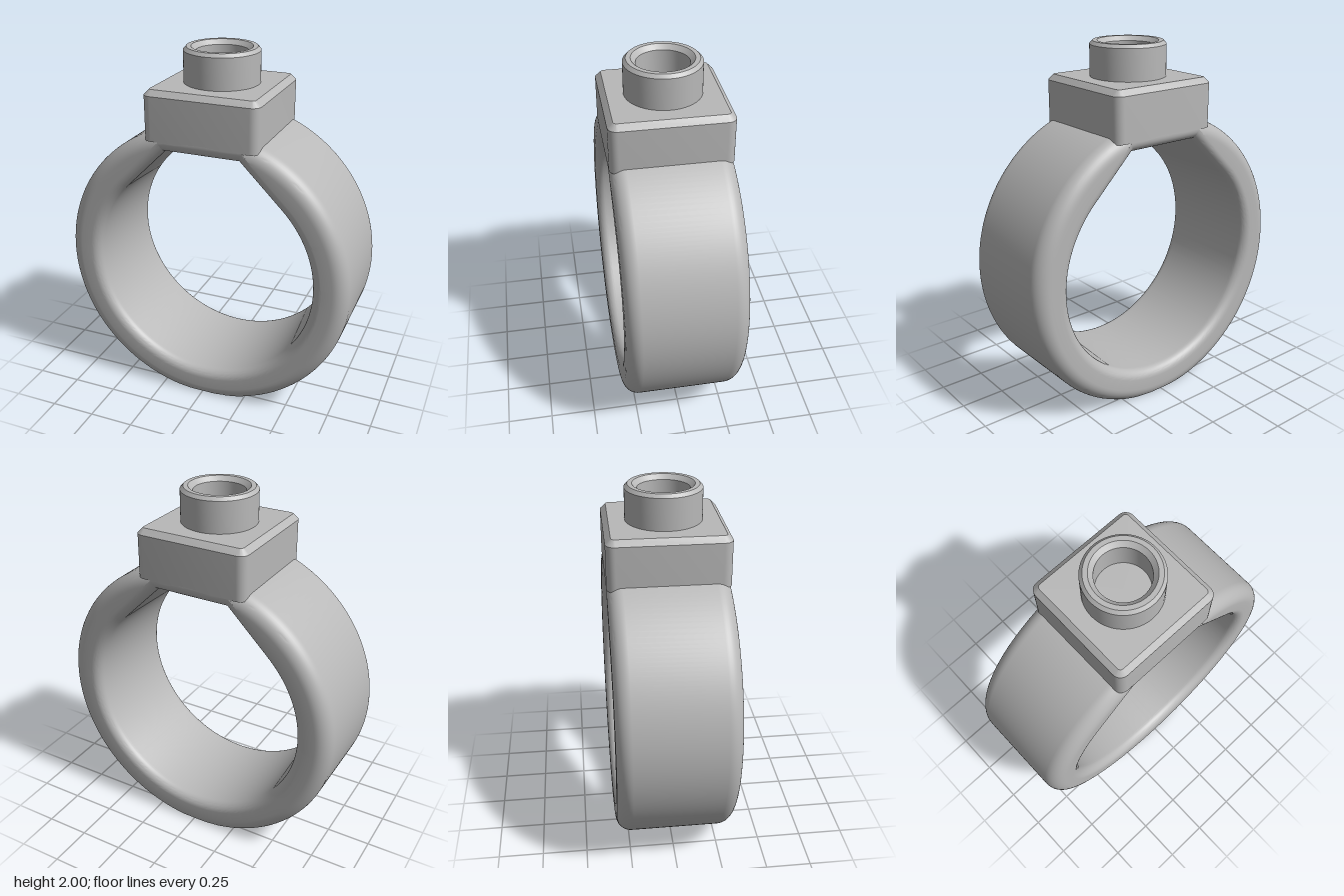
import * as THREE from 'three';
import { toCreasedNormals } from 'three/addons/utils/BufferGeometryUtils.js';

const CY = 0.795, R = 0.832, BORE = 0.635, FLAT = 0.685; // ring centre, radii, height of bore roof above centre
const W = 0.325, RI = 0.055, RF = 0.082;                 // half width, inner and outer edge rounding
const CREASE = 0.22;

// Skin a grid of cross-section loops
function loft(rings, closed) {
  const n = rings[0].length, m = rings.length, index = [];
  for (let i = 0; i < (closed ? m : m - 1); i++) {
    for (let j = 0; j < n; j++) {
      const k = (i + 1) % m, l = (j + 1) % n;
      const a = i * n + j, b = k * n + j, c = k * n + l, d = i * n + l;
      index.push(a, b, c, a, c, d);
    }
  }
  const g = new THREE.BufferGeometry();
  g.setAttribute('position', new THREE.Float32BufferAttribute(rings.flat(2), 3));
  g.setIndex(index);
  return toCreasedNormals(g, CREASE);
}

// Stations clockwise round the teardrop bore; each gives the bore point offset outward by d
function boreStations() {
  const list = [], ARC = 168, SEG = 14, H = Math.SQRT1_2;
  const tangent = (d, s) => [s * H * (BORE + d), H * (BORE + d)];
  const corner = (d, s) => [s * (Math.SQRT2 * (BORE + d) - FLAT - d), FLAT + d];
  for (let i = 0; i < ARC; i++) {
    const a = Math.PI / 4 - (i / ARC) * Math.PI * 1.5;
    list.push(d => [Math.cos(a) * (BORE + d), Math.sin(a) * (BORE + d)]);
  }
  const legs = [
    [d => tangent(d, -1), d => corner(d, -1)],
    [d => corner(d, -1), d => corner(d, 1)],
    [d => corner(d, 1), d => tangent(d, 1)],
  ];
  for (const [from, to] of legs) {
    for (let i = 0; i < SEG; i++) {
      const t = i / SEG;
      list.push(d => {
        const p = from(d), q = to(d);
        return [p[0] + (q[0] - p[0]) * t, p[1] + (q[1] - p[1]) * t];
      });
    }
  }
  return list;
}

// Band with rounded edges, teardrop bore and a flat under the bottom
function bandGeometry() {
  const STEPS = 10;
  const rings = boreStations().map(bore => {
    const [bx, by] = bore(0), angle = Math.atan2(by, bx);
    const least = Math.hypot(...bore(RI));
    const inner = [], outer = [];
    for (let k = 0; k <= STEPS; k++) {
      const t = (k / STEPS) * Math.PI / 2;
      const [x, y] = bore(RI * (1 - Math.cos(t)));
      inner.push([x, y + CY, W - RI + RI * Math.sin(t)]);
      const r = Math.max(least, R - RF + RF * Math.sin(t));
      outer.push([Math.cos(angle) * r, Math.max(0, CY + Math.sin(angle) * r), W - RF + RF * Math.cos(t)]);
    }
    const front = [...inner, ...outer];
    const back = front.map(([x, y, z]) => [x, y, -z]).reverse();
    return [...front, ...back];
  });
  return loft(rings, true);
}

// Square block with rounded upright corners and a chamfered top
function blockGeometry() {
  const r = 0.05, STEPS = 8;
  const ring = (inset, y) => {
    const pts = [];
    for (let c = 0; c < 4; c++) {
      const mid = (c + 0.5) * Math.PI / 2;
      const cx = Math.sign(Math.cos(mid)) * (W - r), cz = Math.sign(Math.sin(mid)) * (W - r);
      for (let k = 0; k <= STEPS; k++) {
        const a = (c + k / STEPS) * Math.PI / 2;
        pts.push([cx + Math.cos(a) * (r - inset), y, cz + Math.sin(a) * (r - inset)]);
      }
    }
    return pts;
  };
  const cap = y => ring(0, y).map(() => [0, y, 0]);
  return loft([cap(1.535), ring(0, 1.535), ring(0, 1.78), ring(0.03, 1.81), cap(1.81)], false);
}

// Hollow collar with chamfered rim and closed floor
function collarGeometry() {
  const profile = [
    [0.207, 1.79], [0.207, 1.982], [0.19, 2], [0.165, 2], [0.14, 1.975], [0.14, 1.815], [0, 1.815],
  ].map(p => new THREE.Vector2(...p));
  return toCreasedNormals(new THREE.LatheGeometry(profile, 72), CREASE);
}

export function createModel() {
  const group = new THREE.Group();
  group.name = 'ringMount';
  const grey = new THREE.MeshStandardMaterial({ color: 0xb8b8b8 });
  grey.name = 'grey';
  const parts = { band: bandGeometry(), mountingBlock: blockGeometry(), collar: collarGeometry() };
  for (const [name, geometry] of Object.entries(parts)) {
    const mesh = new THREE.Mesh(geometry, grey);
    mesh.name = name;
    group.add(mesh);
  }
  return group;
}
